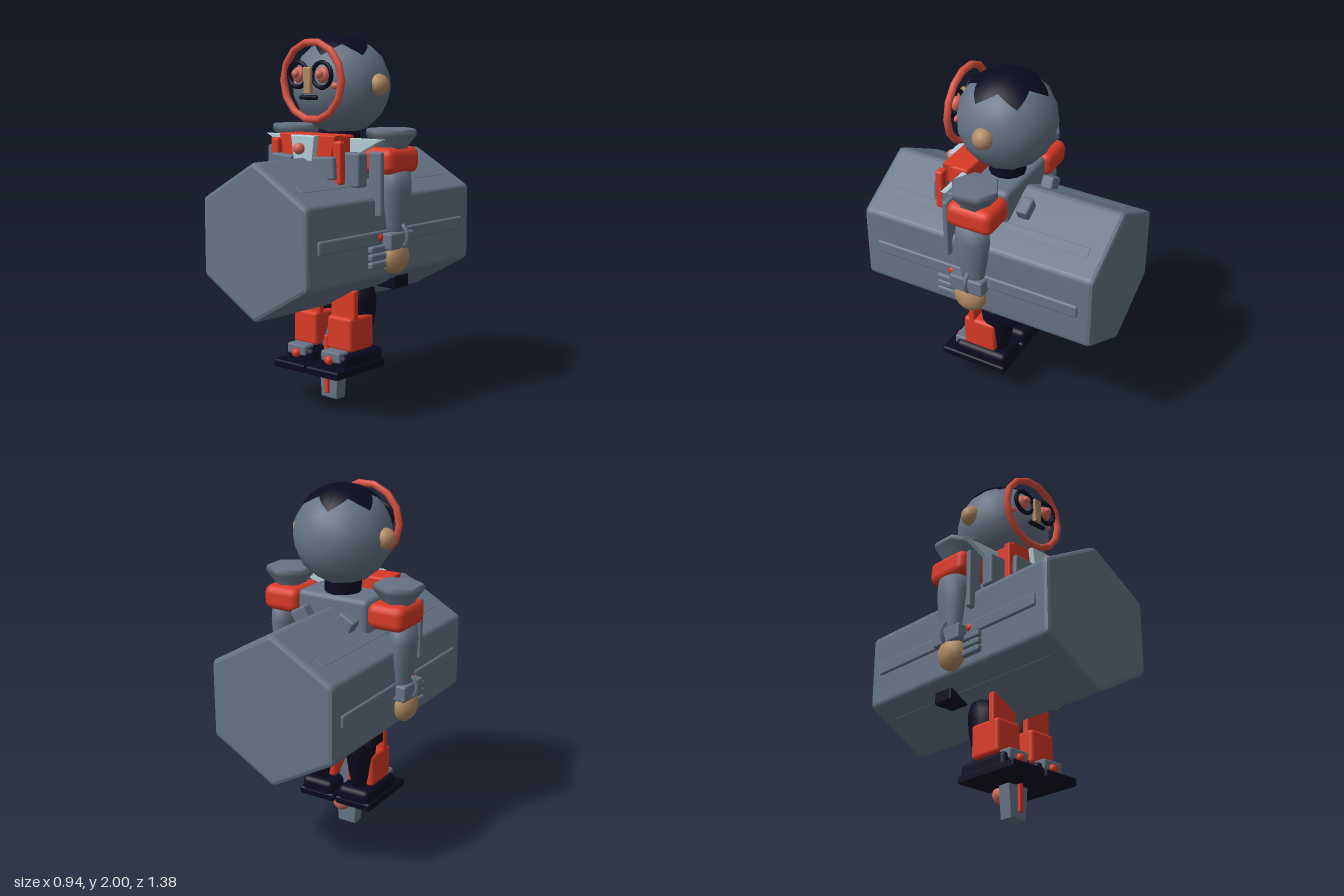
import * as THREE from 'three';
import { RoundedBoxGeometry } from 'three/addons/geometries/RoundedBoxGeometry.js';

export function createModel() {
  const model = new THREE.Group();
  const mat = (name, color, side = THREE.FrontSide) => {
    const m = new THREE.MeshStandardMaterial({ color, side });
    m.name = name;
    return m;
  };
  const gray = mat('slate gray', 0x667386);
  const dark = mat('midnight', 0x0a0a20, THREE.DoubleSide);
  const red = mat('red', 0xda3a26);
  const coral = mat('coral', 0xd2695a);
  const rim = mat('rim red', 0xd6503f);
  const tan = mat('tan', 0xb08962);
  const pale = mat('pale blue', 0xb2cdd8);

  const add = (name, geo, material, x = 0, y = 0, z = 0) => {
    const mesh = new THREE.Mesh(geo, material);
    mesh.name = name;
    mesh.position.set(x, y, z);
    model.add(mesh);
    return mesh;
  };
  // Bevelled box given by its size and centre
  const box = (name, material, w, h, d, x, y, z, r = 0.012) =>
    add(name, new RoundedBoxGeometry(w, h, d, 2, Math.min(r, w / 2.1, h / 2.1, d / 2.1)), material, x, y, z);
  const ball = (name, material, r, x, y, z) =>
    add(name, new THREE.SphereGeometry(r, 16, 10), material, x, y, z);
  const lathe = (name, material, pts, seg, x, z) =>
    add(name, new THREE.LatheGeometry(pts.map(p => new THREE.Vector2(...p)), seg), material, x, 0, z);
  // Bevelled plate in the xy plane, between two z values
  const plate = (name, material, shape, z0, z1, b = 0.006) => {
    const geo = new THREE.ExtrudeGeometry(shape, {
      depth: z1 - z0 - 2 * b, bevelEnabled: true, bevelThickness: b, bevelSize: b,
      bevelOffset: -b, bevelSegments: 2, curveSegments: 3
    });
    return add(name, geo, material, 0, 0, z0 + b);
  };
  const poly = pts => new THREE.Shape(pts.map(p => new THREE.Vector2(...p)));

  // Large hexagonal body running front to back, with softened long edges
  const CY = 0.945;
  const corner = i => new THREE.Vector2(
    0.427 * Math.sin(i * Math.PI / 3), 0.417 * Math.cos(i * Math.PI / 3) + CY);
  const hex = new THREE.Shape();
  for (let i = 0; i < 6; i++) {
    const c = corner(i);
    const a = c.clone().lerp(corner(i + 5), 0.05), b = c.clone().lerp(corner(i + 1), 0.05);
    if (i === 0) hex.moveTo(a.x, a.y); else hex.lineTo(a.x, a.y);
    hex.quadraticCurveTo(c.x, c.y, b.x, b.y);
  }
  hex.closePath();
  plate('body prism', gray, hex, -0.69, 0.69, 0.022);

  // Head, neck and jagged hair cap
  const HY = 1.73;
  add('head', new THREE.IcosahedronGeometry(0.268, 2), gray, 0, HY, 0);
  add('neck', new THREE.CylinderGeometry(0.1, 0.1, 0.2, 12), dark, 0, 1.44, 0);
  const N = 48, RINGS = 6, pos = [], idx = [];
  for (let j = 0; j <= RINGS; j++) {
    for (let i = 0; i <= N; i++) {
      const a = i / N * Math.PI * 2;
      const t = Math.abs(((i % 8) - 4) / 4);
      const r = 0.158 + 0.06 * t;
      const phi = Math.asin(r / 0.271) * j / RINGS;
      const dir = a - 101 * Math.PI / 180;
      pos.push(0.271 * Math.sin(phi) * Math.cos(dir), 0.271 * Math.cos(phi), 0.271 * Math.sin(phi) * Math.sin(dir));
      if (j < RINGS && i < N) {
        const k = j * (N + 1) + i, m = k + N + 1;
        idx.push(k, k + 1, m, k + 1, m + 1, m);
      }
    }
  }
  const cap = new THREE.BufferGeometry();
  cap.setAttribute('position', new THREE.Float32BufferAttribute(pos, 3));
  cap.setIndex(idx);
  cap.computeVertexNormals();
  add('hair cap', cap, dark, 0, HY, 0);

  // Face
  add('face rim', new THREE.TorusGeometry(0.206, 0.02, 8, 14), rim, 0, 1.757, 0.24);
  plate('nose', tan, poly([[-0.028, 1.83], [0.028, 1.83], [0.022, 1.69], [-0.022, 1.69]]), 0.24, 0.285);
  box('mouth', dark, 0.125, 0.026, 0.025, 0, 1.672, 0.268);

  // Chest
  box('upper chest', red, 0.4, 0.12, 0.12, 0, 1.418, 0.19);
  box('lower chest', gray, 0.62, 0.18, 0.075, 0, 1.3, 0.19);
  plate('chest panel', red, poly([[-0.2, 1.478], [0.2, 1.478], [0.17, 1.36], [-0.17, 1.36]]), 0.22, 0.285);
  plate('chest plate', pale, poly([[-0.085, 1.475], [0.085, 1.475], [0.065, 1.34], [-0.065, 1.34]]), 0.265, 0.318);
  ball('chest knob', coral, 0.031, 0, 1.407, 0.345);
  box('torso', gray, 0.44, 0.6, 0.24, 0, 1.12, 0, 0.03);
  box('pelvis', dark, 0.3, 0.12, 0.18, 0, 0.7, -0.01);

  // Central prop below the body
  plate('prop', gray, poly([[-0.055, 0], [0.055, 0], [0.07, 0.18], [0.045, 0.32], [0, 0.425], [-0.045, 0.32], [-0.07, 0.18]]), 0.035, 0.112);
  box('prop strip', red, 0.028, 0.33, 0.02, 0, 0.197, 0.127, 0.006);
  ball('prop knob', coral, 0.053, 0, 0.155, -0.008);

  for (const s of [1, -1]) {
    // Ridges on the body sides and slopes
    box('side ridge', gray, 0.03, 0.075, 1.22, s * 0.367, CY, 0, 0.012);
    for (const v of [1, -1]) {
      const ridge = box('slope ridge', gray, 0.06, 0.012, 1.2, s * 0.235, CY + v * 0.28, 0, 0.005);
      ridge.rotation.z = -s * v * Math.PI / 6;
    }

    // Ears and eyes
    ball('ear', tan, 0.058, s * 0.255, 1.738, 0);
    add('eye ring', new THREE.TorusGeometry(0.066, 0.012, 8, 18), dark, s * 0.085, 1.79, 0.258);
    ball('eye', coral, 0.042, s * 0.085, 1.79, 0.25).scale.z = 0.7;
    ball('pupil', coral, 0.023, s * 0.085, 1.795, 0.275);
    const cheek = ball('cheek', coral, 0.03, s * 0.135, 1.735, 0.22);
    cheek.scale.set(1, 0.6, 0.5);

    // Shoulders
    lathe('shoulder flare', gray, [[0, 1.37], [0.085, 1.37], [0.09, 1.42], [0.134, 1.475], [0.134, 1.5], [0.126, 1.511], [0, 1.511]], 6, s * 0.343, 0);
    box('shoulder pad', red, 0.22, 0.14, 0.27, s * 0.33, 1.345, -0.003, 0.045);
    plate('collar wing', pale, poly([[s * 0.415, 1.462], [s * 0.1, 1.462], [s * 0.1, 1.35], [s * 0.22, 1.36]]), 0.135, 0.165);
    box('shoulder slat', gray, 0.085, 0.34, 0.034, s * 0.365, 1.228, 0.148);
    box('chest bar', red, 0.055, 0.225, 0.045, s * 0.222, 1.34, 0.28);
    const pocket = box('chest pocket', gray, 0.15, 0.12, 0.06, s * 0.15, 1.31, 0.3);
    pocket.rotation.z = s * 0.06;
    const fin = box('back fin', gray, 0.1, 0.08, 0.07, s * 0.14, 1.31, -0.185);
    fin.rotation.z = -s * 0.5;

    // Arm, cuff and hand
    const arm = lathe('arm', gray, [[0, 0.9], [0.062, 0.92], [0.072, 1], [0.09, 1.1], [0.098, 1.2], [0.09, 1.28], [0, 1.32]], 16, s * 0.38, 0);
    arm.scale.x = 0.72;
    box('cuff', gray, 0.1, 0.09, 0.2, s * 0.39, 0.925, 0.015);
    const band = add('cuff band', new THREE.TorusGeometry(0.068, 0.012, 6, 12), gray, s * 0.4, 0.945, 0.005);
    band.scale.set(0.9, 1, 1);
    ball('cuff knob', red, 0.026, s * 0.367, 0.948, 0.132);
    const hand = ball('hand', tan, 0.093, s * 0.385, 0.832, 0.015);
    hand.scale.x = 0.72;
    for (let i = 0; i < 3; i++) {
      box('finger', gray, 0.045, 0.038, 0.15, s * 0.375, 0.89 - i * 0.042, 0.145);
    }

    // Hip pouch and leg
    box('hip pouch', dark, 0.13, 0.075, 0.13, s * 0.245, 0.665, -0.145);
    lathe('leg', dark, [[0, 0.27], [0.05, 0.28], [0.075, 0.36], [0.097, 0.48], [0.102, 0.57], [0.085, 0.63], [0, 0.645]], 16, s * 0.125, -0.01).scale.x = 0.8;
    box('thigh plate', red, 0.17, 0.18, 0.04, s * 0.125, 0.55, 0.122);
    box('shin guard', red, 0.17, 0.19, 0.2, s * 0.125, 0.395, 0.073, 0.02);

    // Foot
    box('sole', dark, 0.228, 0.046, 0.41, s * 0.12, 0.203, 0.105);
    box('foot', dark, 0.2, 0.1, 0.33, s * 0.12, 0.245, 0.065, 0.03);
    box('toe cap', gray, 0.135, 0.06, 0.08, s * 0.125, 0.282, 0.205);
    ball('toe knob', red, 0.026, s * 0.12, 0.265, 0.245);
  }
  return model;
}
